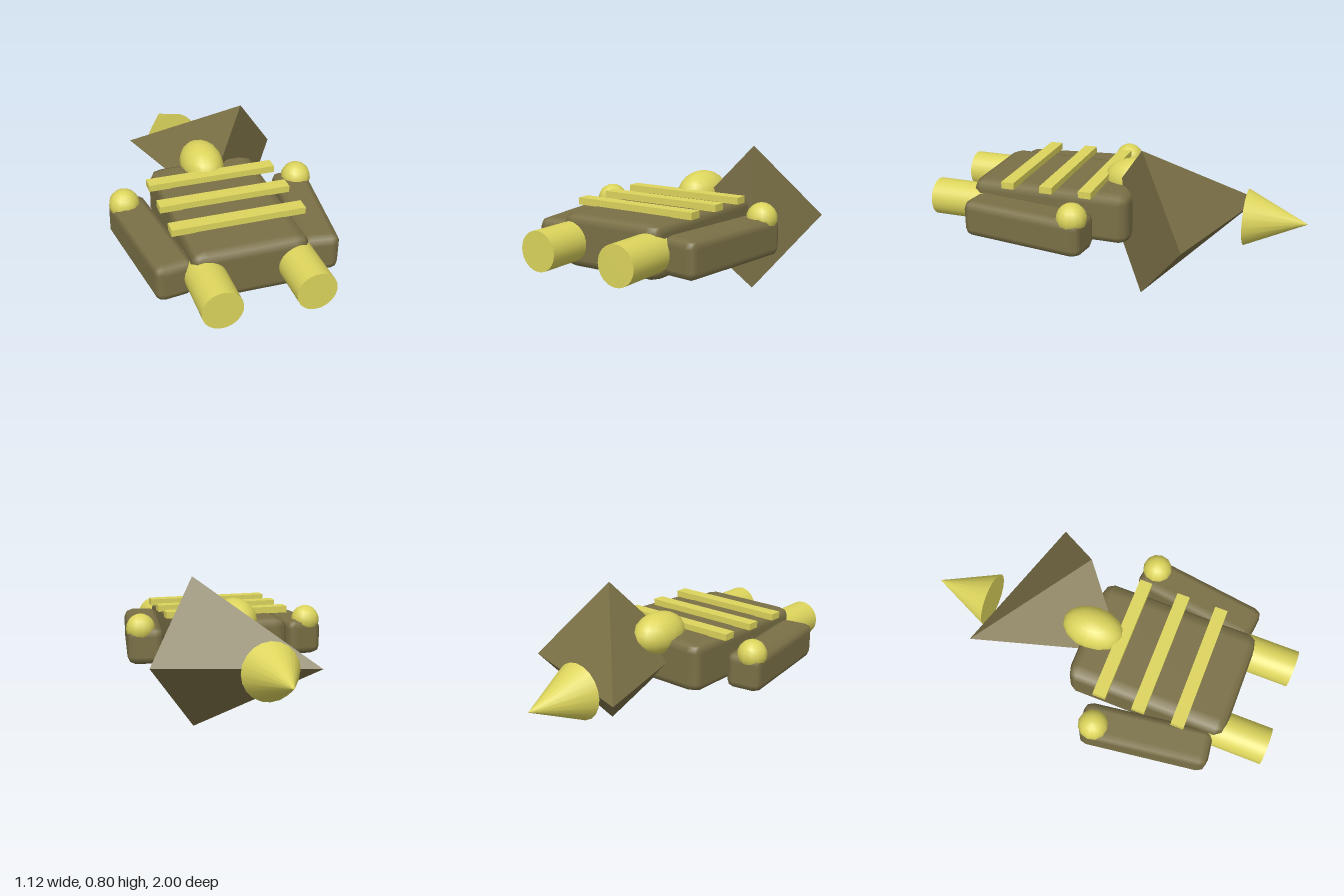
import * as THREE from 'three';
import { RoundedBoxGeometry } from 'three/addons/geometries/RoundedBoxGeometry.js';

export function createModel() {
  const model = new THREE.Group();
  const olive = new THREE.MeshStandardMaterial({ color: 0x7a7046 });
  olive.name = 'olive';
  const yellow = new THREE.MeshStandardMaterial({ color: 0xdcd45c });
  yellow.name = 'yellow';

  function add(name, geometry, material, x, y, z) {
    const mesh = new THREE.Mesh(geometry, material);
    mesh.name = name;
    mesh.position.set(x, y, z);
    model.add(mesh);
    return mesh;
  }

  // Main body, with its bevel stretched sideways
  const bodyGeo = new RoundedBoxGeometry(0.395, 0.275, 0.88, 1, 0.05);
  bodyGeo.scale(1.5, 1, 1);
  add('body', bodyGeo, olive, 0, 0.403, 0.33);

  // Cross bars on top of the body
  for (const z of [0.1, 0.315, 0.53]) {
    add('crossBar', new THREE.BoxGeometry(0.69, 0.036, 0.07), yellow, 0, 0.556, z);
  }

  // Mirrored limbs
  for (const s of [1, -1]) {
    const side = s > 0 ? 'left' : 'right';
    const arm = add(side + 'Arm', new RoundedBoxGeometry(0.2, 0.2, 0.69, 1, 0.045), olive, s * 0.415, 0.388, 0.39);
    arm.rotation.y = -s * 0.14;
    add(side + 'Shoulder', new THREE.SphereGeometry(0.08, 12, 10), yellow, s * 0.478, 0.483, 0.12);
    const leg = add(side + 'Leg', new THREE.CylinderGeometry(0.1, 0.1, 0.4, 32), yellow, s * 0.23, 0.4, 0.8);
    leg.rotation.x = Math.PI / 2;
  }

  // Head
  const headGeo = new THREE.SphereGeometry(0.115, 16, 12);
  headGeo.scale(1, 1, 1.48);
  add('head', headGeo, yellow, 0, 0.541, -0.07);

  // Four-sided pyramid pointing back and to the right
  const pyramidGeo = new THREE.ConeGeometry(0.4, 0.735, 4).toNonIndexed();
  pyramidGeo.computeVertexNormals();
  pyramidGeo.rotateX(-Math.PI / 2);
  pyramidGeo.rotateY(Math.PI / 4);
  add('pyramid', pyramidGeo, olive, 0, 0.4, -0.44);

  // Rear cone
  const cone = add('rearCone', new THREE.ConeGeometry(0.15, 0.32, 20), yellow, 0, 0.4, -0.84);
  cone.rotation.x = -Math.PI / 2;

  return model;
}
